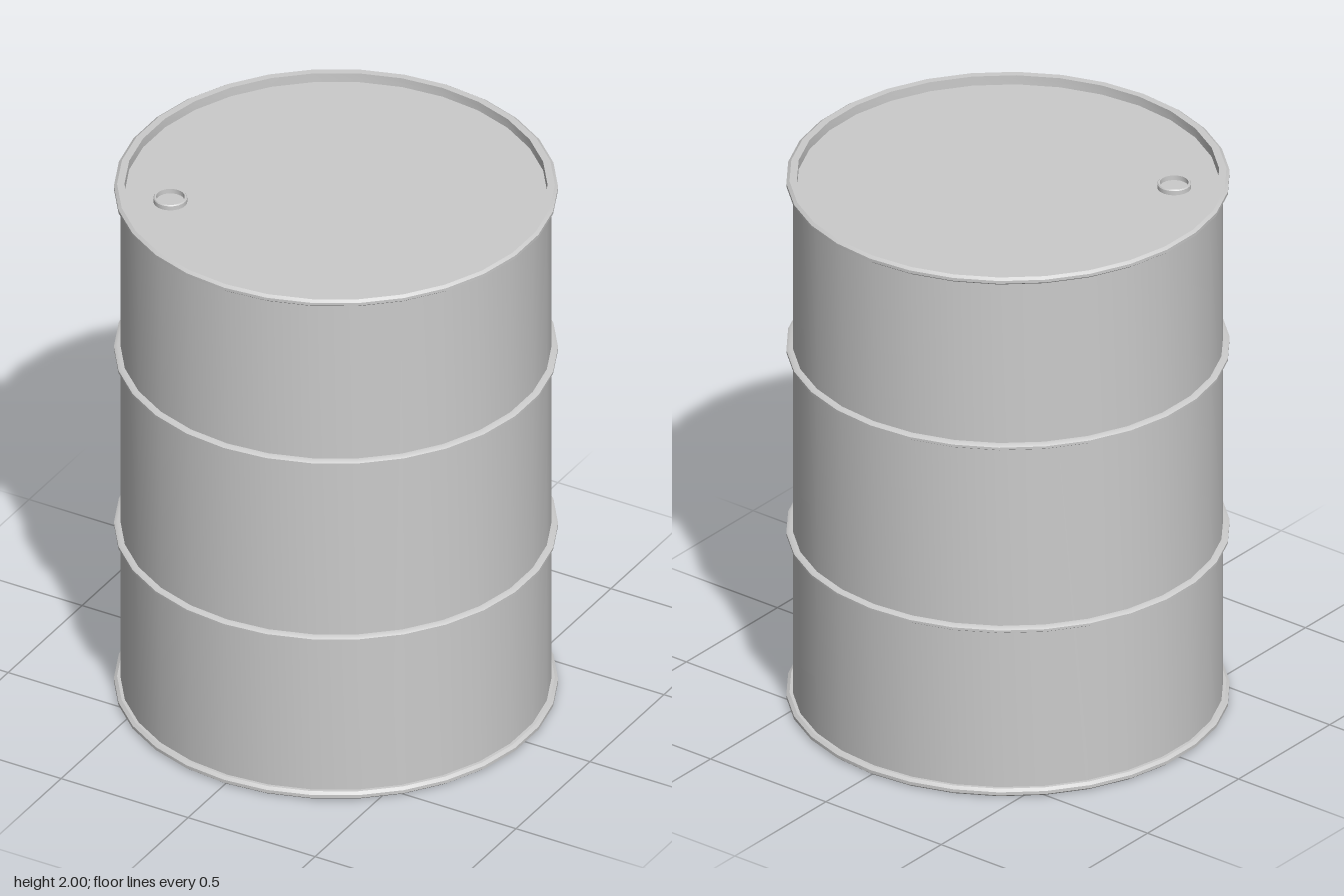
import * as THREE from 'three';
import { toCreasedNormals } from 'three/addons/utils/BufferGeometryUtils.js';

const SIDES = 30;
const HEIGHT = 2;
const BODY_R = 0.734;
const INNER_R = 0.72;
const RIM_R = 0.756;

export function createModel() {
  const group = new THREE.Group();
  const material = new THREE.MeshStandardMaterial({ color: 0xcccccc });

  // Revolve a [radius, y] profile; points run upward on the outside
  function turned(name, profile, sides = SIDES) {
    const points = profile.map(([r, y]) => new THREE.Vector2(r, y));
    const geometry = toCreasedNormals(new THREE.LatheGeometry(points, sides), 0.6);
    const mesh = new THREE.Mesh(geometry, material);
    mesh.name = name;
    group.add(mesh);
    return mesh;
  }

  // Solid hoop with a bevelled outer edge
  function hoop(name, y, height, inner) {
    const h = height / 2;
    const b = 0.011;
    return turned(name, [
      [inner, y - h], [RIM_R - b, y - h], [RIM_R, y - h * 0.4],
      [RIM_R, y + h * 0.4], [RIM_R - b, y + h], [inner, y + h], [inner, y - h],
    ]);
  }

  // Drum wall with recessed lid and base
  turned('wall', [[BODY_R, 0.015], [BODY_R, HEIGHT - 0.015]]);
  const recess = 0.035;
  turned('lid', [[INNER_R, HEIGHT - 0.01], [INNER_R, HEIGHT - recess], [0, HEIGHT - recess]]);
  turned('base', [[0, recess], [INNER_R, recess], [INNER_R, 0.01]]);

  // End rims and the two rolling hoops
  hoop('topRim', HEIGHT - 0.0135, 0.027, INNER_R);
  hoop('bottomRim', 0.0185, 0.029, INNER_R);
  for (const [name, y] of [['upperHoop', 1.345], ['lowerHoop', 0.64]]) hoop(name, y, 0.022, BODY_R - 0.01);

  // Filler opening: a short collar standing on the lid
  const collar = turned('fillerCollar', [
    [0.058, 0], [0.058, 0.016], [0.055, 0.02], [0.049, 0.02], [0.049, 0.002], [0, 0.002],
  ], 24);
  collar.position.set(-0.46, HEIGHT - recess, 0.33);

  // Rest the bottom rim on the ground
  group.getObjectByName('bottomRim').position.y = -0.004;
  return group;
}
